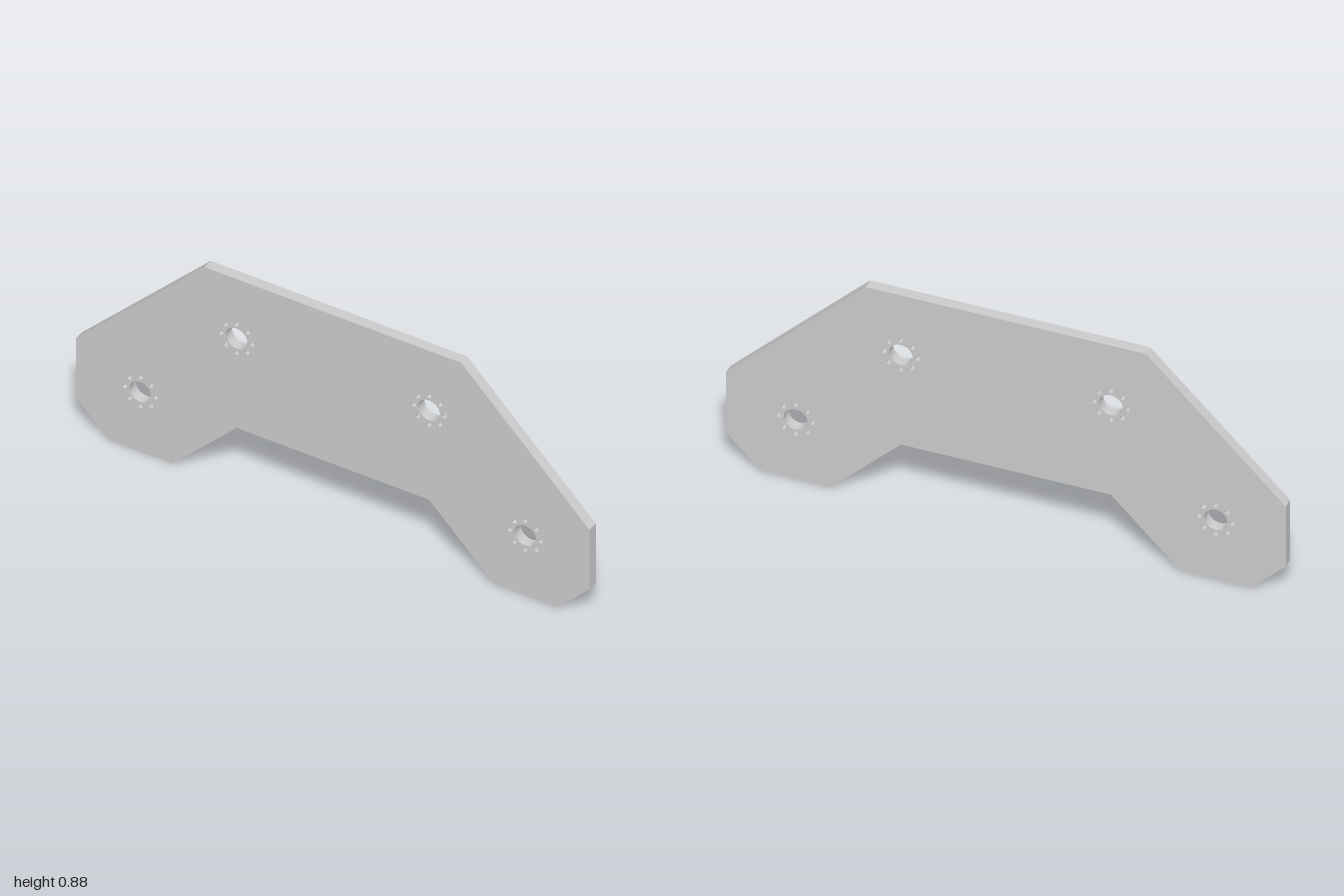
import * as THREE from 'three';
import { toCreasedNormals } from 'three/addons/utils/BufferGeometryUtils.js';

const THICKNESS = 0.04;
const BORE_RADIUS = 0.042;
const BOLT_RADIUS = 0.009;
const BOLT_CIRCLE = 0.06;
const BOLT_COUNT = 8;

function addHole(shape, x, y, radius) {
  const hole = new THREE.Path();
  hole.absarc(x, y, radius, 0, Math.PI * 2, true);
  shape.holes.push(hole);
}

// A central bore surrounded by a ring of small bolt holes
function addMount(shape, x, y) {
  addHole(shape, x, y, BORE_RADIUS);
  for (let i = 0; i < BOLT_COUNT; i++) {
    const a = (i / BOLT_COUNT) * Math.PI * 2;
    addHole(shape, x + BOLT_CIRCLE * Math.cos(a), y + BOLT_CIRCLE * Math.sin(a), BOLT_RADIUS);
  }
}

export function createModel() {
  const group = new THREE.Group();
  group.name = 'mountingPlate';

  // Right half of the outline, from the inner notch up to the top edge, then mirrored
  const half = [
    [0.375, 0.25], [0.625, 0], [0.875, 0], [1, 0.125], [1, 0.375], [0.5, 0.875],
  ];
  const mirrored = half.map(([x, y]) => [-x, y]).reverse();
  const shape = new THREE.Shape([...half, ...mirrored].map(([x, y]) => new THREE.Vector2(x, y)));

  // Four mounts, two on each side
  for (const side of [-1, 1]) {
    addMount(shape, side * 0.375, 0.625);
    addMount(shape, side * 0.75, 0.25);
  }

  // Flat plate with sharp edges and smooth bore walls
  const geometry = new THREE.ExtrudeGeometry(shape, {
    depth: THICKNESS, bevelEnabled: false, curveSegments: 16,
  });
  geometry.translate(0, 0, -THICKNESS / 2);
  const plate = new THREE.Mesh(
    toCreasedNormals(geometry, 0.6),
    new THREE.MeshStandardMaterial({ color: 0xcccccc }),
  );
  plate.name = 'plate';
  group.add(plate);
  return group;
}
